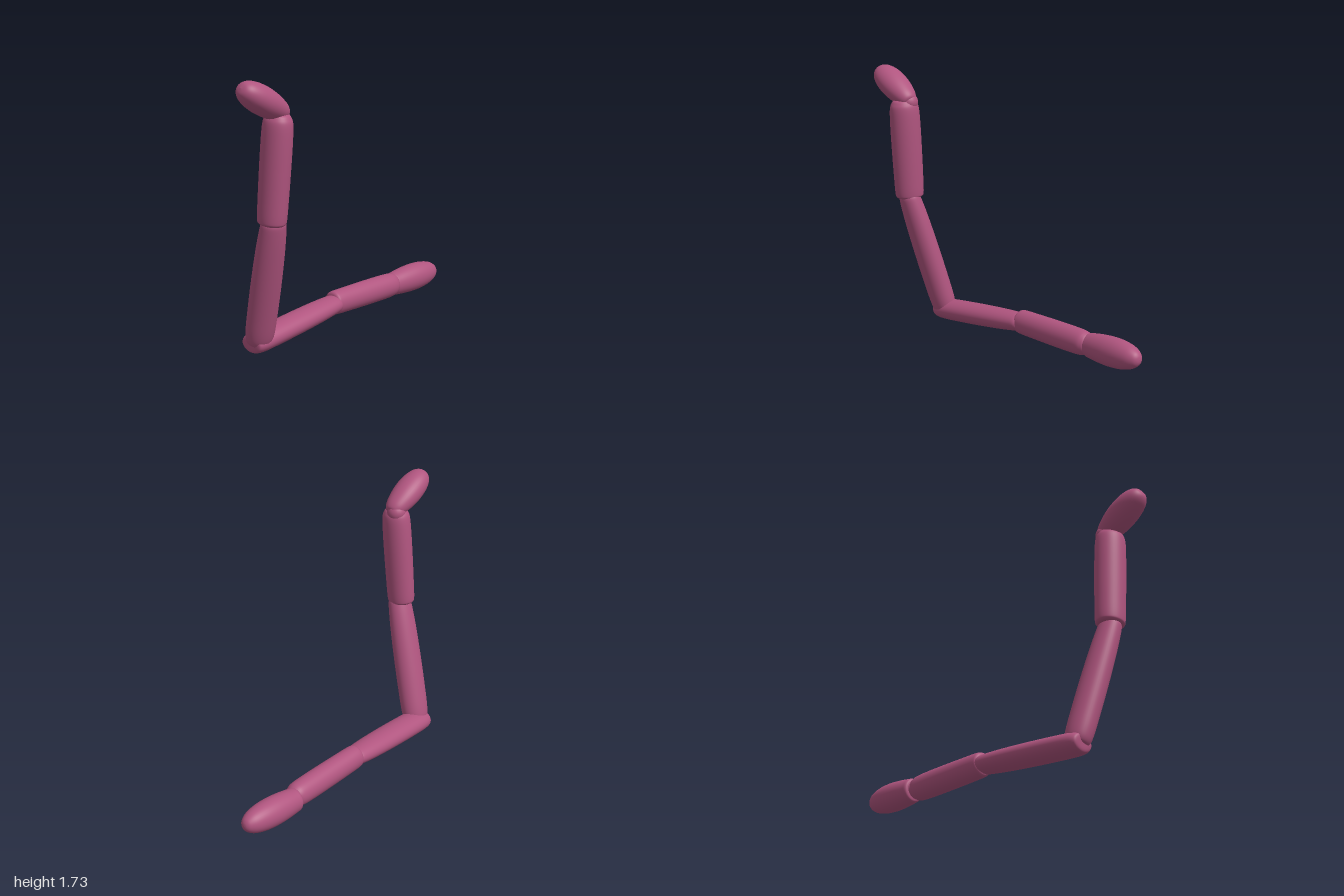
import * as THREE from 'three';

const skin = new THREE.MeshStandardMaterial({ color: 0xb0557f });
skin.name = 'rose';

// Profiles as [relative radius, fraction of length]
const UPPER = [[0, 0], [0.62, 0.002], [0.86, 0.025], [0.97, 0.1], [1, 0.25], [1, 0.5], [0.95, 0.75], [0.86, 0.92], [0.76, 0.98], [0.5, 1], [0, 1]];
const FORE = [[0, 0], [0.6, 0], [0.87, 0.015], [0.95, 0.06], [0.98, 0.25], [1, 0.5], [1, 0.75], [0.96, 0.9], [0.84, 0.96], [0.6, 0.995], [0, 1]];
const HAND = [[0, 0], [0.55, 0], [0.8, 0.02], [0.87, 0.1], [0.96, 0.28], [1, 0.48], [0.94, 0.68], [0.76, 0.85], [0.5, 0.95], [0.25, 0.99], [0, 1]];
const FIST = [[0, 0], [0.4, 0.01], [0.63, 0.07], [0.8, 0.18], [0.95, 0.36], [1, 0.55], [0.93, 0.74], [0.73, 0.89], [0.42, 0.975], [0, 1]];

// Rounded limb from a to b; ru is the radius along the hint direction, rv across it
function limb(name, profile, a, b, hint, ru, rv) {
  const start = new THREE.Vector3(...a);
  const axis = new THREE.Vector3(...b).sub(start);
  const length = axis.length();
  axis.normalize();
  const u = new THREE.Vector3(...hint);
  u.addScaledVector(axis, -u.dot(axis)).normalize();
  const w = new THREE.Vector3().crossVectors(u, axis);
  const points = new THREE.SplineCurve(profile.map(p => new THREE.Vector2(...p))).getPoints(50);
  points.forEach(p => { p.x = Math.max(0, p.x); });
  const geometry = new THREE.LatheGeometry(points, 40);
  geometry.scale(ru, length, rv);
  geometry.applyMatrix4(new THREE.Matrix4().makeBasis(u, axis, w).setPosition(start));
  const mesh = new THREE.Mesh(geometry, skin);
  mesh.name = name;
  return mesh;
}

// Soft ball filling a joint
function joint(name, position, radius) {
  const mesh = new THREE.Mesh(new THREE.SphereGeometry(radius, 24, 16), skin);
  mesh.name = name;
  mesh.position.set(...position);
  return mesh;
}

export function createModel() {
  const X = [1, 0, 0], Y = [0, 1, 0], Z = [0, 0, 1];
  const model = new THREE.Group();
  model.name = 'jointedLimbs';

  // Reclining chain, running sideways
  const lying = new THREE.Group();
  lying.name = 'lyingLimb';
  lying.add(
    limb('lyingUpper', UPPER, [-0.765, 0.066, 0.075], [0.01, 0.136, -0.158], Y, 0.07, 0.095),
    joint('lyingElbow', [-0.005, 0.136, -0.155], 0.057),
    limb('lyingLower', FORE, [-0.025, 0.137, -0.155], [0.59, 0.13, -0.312], Y, 0.083, 0.077),
    joint('lyingWrist', [0.575, 0.127, -0.315], 0.062),
    limb('lyingHand', HAND, [0.565, 0.122, -0.325], [1, 0.14, -0.412], Y, 0.093, 0.088)
  );

  // Raised chain, running upward
  const raised = new THREE.Group();
  raised.name = 'raisedLimb';
  raised.add(
    limb('raisedUpper', UPPER, [-0.7, 0.065, 0.063], [-0.73, 0.9, 0.318], X, 0.096, 0.083),
    joint('raisedElbow', [-0.732, 0.88, 0.312], 0.064),
    limb('raisedLower', FORE, [-0.738, 0.866, 0.302], [-0.71, 1.53, 0.348], X, 0.09, 0.101),
    joint('raisedWrist', [-0.695, 1.51, 0.32], 0.062),
    limb('raisedHand', FIST, [-0.655, 1.515, 0.325], [-0.985, 1.702, 0.402], Z, 0.097, 0.085)
  );

  model.add(lying, raised);
  return model;
}
